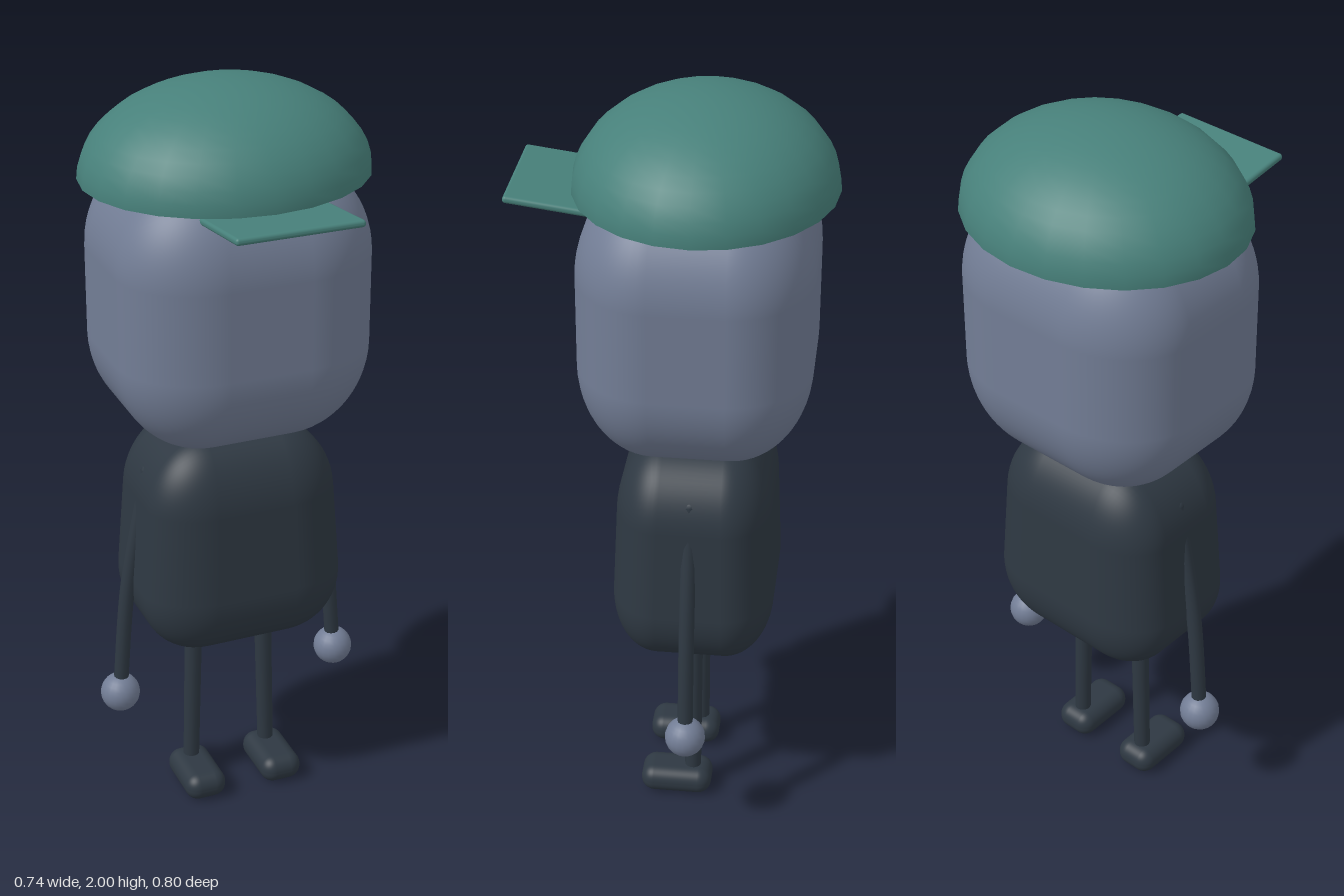
import * as THREE from 'three';
import { RoundedBoxGeometry } from 'three/addons/geometries/RoundedBoxGeometry.js';

const ZC = -0.058; // depth of the body's centre plane

function material(name, color, side = THREE.FrontSide) {
  const m = new THREE.MeshStandardMaterial({ color, side });
  m.name = name;
  return m;
}

// Rounded block with corners that stretch with its size
function softBlock(w, h, d, radius) {
  return new RoundedBoxGeometry(1, 1, 1, 8, radius).scale(w, h, d);
}

export function createModel() {
  const model = new THREE.Group();
  model.name = 'figure';
  const skin = material('greyBlueSkin', 0x727d95);
  const cloth = material('darkCloth', 0x2e3842);
  const teal = material('tealCap', 0x47807a, THREE.DoubleSide);

  const add = (name, geometry, mat, x, y, z) => {
    const mesh = new THREE.Mesh(geometry, mat);
    mesh.name = name;
    mesh.position.set(x, y, z);
    model.add(mesh);
    return mesh;
  };

  // Head
  add('head', softBlock(0.67, 0.73, 0.586, 0.34), skin, 0, 1.455, ZC);

  // Torso, narrowing towards the shoulders
  const torso = softBlock(1, 0.605, 1, 0.3);
  const p = torso.attributes.position;
  for (let i = 0; i < p.count; i++) {
    const t = p.getY(i) / 0.605 + 0.5;
    p.setX(i, p.getX(i) * THREE.MathUtils.lerp(0.58, 0.49, t));
    p.setZ(i, p.getZ(i) * THREE.MathUtils.lerp(0.435, 0.385, t));
  }
  // Normals follow the scaling of each axis
  const n = torso.attributes.normal;
  const v = new THREE.Vector3();
  for (let i = 0; i < n.count; i++) {
    v.fromBufferAttribute(n, i);
    v.set(v.x / 0.535, v.y + 0.12 * Math.hypot(v.x, v.z), v.z / 0.41).normalize();
    n.setXYZ(i, v.x, v.y, v.z);
  }
  add('torso', torso, cloth, 0, 0.7925, ZC);

  // Cap: open dome and tilted brim
  const dome = new THREE.SphereGeometry(1, 24, 12, 0, Math.PI * 2, 0, Math.PI / 2);
  add('capDome', dome.scale(0.37, 0.235, 0.326), teal, 0, 1.765, -0.071);
  const brim = add('capBrim', new RoundedBoxGeometry(0.325, 0.018, 0.24, 3, 0.008), teal, 0, 1.755, 0.28);
  brim.rotation.x = -0.13;

  // Limbs, mirrored
  for (const [side, s] of [['left', 1], ['right', -1]]) {
    const path = new THREE.CatmullRomCurve3([
      new THREE.Vector3(s * 0.222, 0.985, ZC),
      new THREE.Vector3(s * 0.285, 0.66, ZC),
      new THREE.Vector3(s * 0.315, 0.33, ZC),
    ]);
    add(side + 'Arm', new THREE.TubeGeometry(path, 16, 0.02, 12), cloth, 0, 0, 0);
    add(side + 'Shoulder', new THREE.SphereGeometry(0.02, 12, 8), cloth, s * 0.222, 0.983, ZC);
    add(side + 'Hand', new THREE.SphereGeometry(0.053, 20, 14), skin, s * 0.315, 0.328, ZC);

    // Leg leaning slightly outwards
    const leg = add(side + 'Leg', new THREE.CylinderGeometry(0.024, 0.022, 0.5, 14), cloth, s * 0.106, 0.3, ZC);
    leg.rotation.z = s * 0.025;
    add(side + 'Foot', new RoundedBoxGeometry(0.115, 0.076, 0.192, 6, 0.036), cloth, s * 0.112, 0.038, -0.014);
  }

  return model;
}
